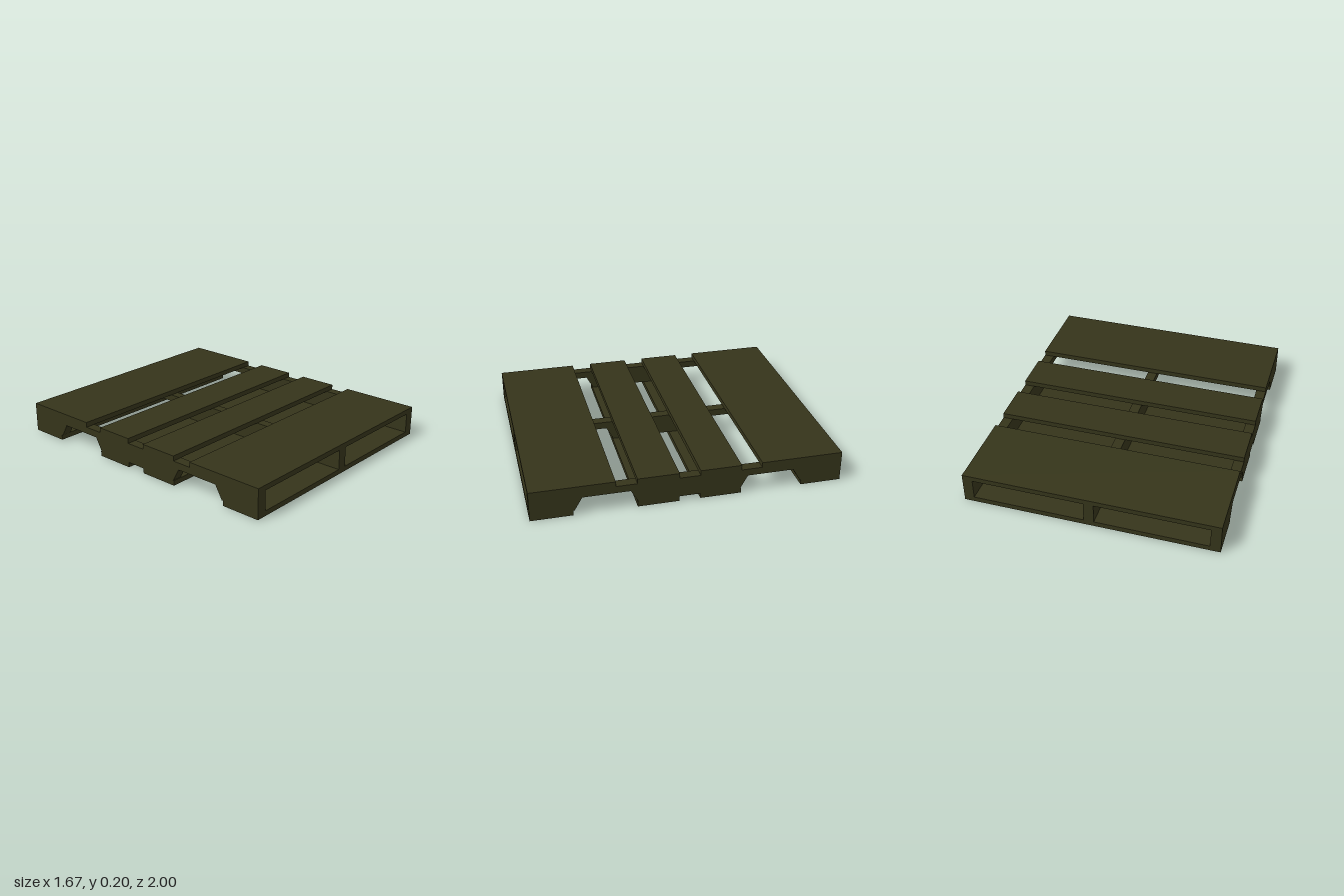
import * as THREE from 'three';

const WIDTH = 1.667, BOARD = 0.0335, HEIGHT = 0.2;
const STRINGER = 0.0665;

export function createModel() {
  const pallet = new THREE.Group();
  pallet.name = 'pallet';
  const wood = new THREE.MeshStandardMaterial({ color: 0x35341a, flatShading: true });

  // A flat board across the full width, between two z positions
  const addBoard = (name, z0, z1, y) => {
    const board = new THREE.Mesh(new THREE.BoxGeometry(WIDTH, BOARD, z1 - z0), wood);
    board.position.set(0, y, (z0 + z1) / 2);
    board.name = name;
    pallet.add(board);
  };

  // Top deck: wide end boards and narrower middle boards, mirrored front to back
  for (const [z0, z1] of [[0.467, 1], [0.067, 0.333]]) {
    addBoard('topBoardFront', z0, z1, HEIGHT - BOARD / 2);
    addBoard('topBoardBack', -z1, -z0, HEIGHT - BOARD / 2);
  }

  // Bottom deck
  for (const [z0, z1] of [[0.733, 1], [0.067, 0.333]]) {
    addBoard('bottomBoardFront', z0, z1, BOARD / 2);
    addBoard('bottomBoardBack', -z1, -z0, BOARD / 2);
  }

  // Stringer side profile with two tapered fork notches
  const low = BOARD, high = HEIGHT - BOARD, notch = 0.12;
  const profile = new THREE.Shape([
    [-1, low], [-0.725, low], [-0.675, notch], [-0.375, notch], [-0.327, low],
    [0.327, low], [0.375, notch], [0.675, notch], [0.725, low], [1, low],
    [1, high], [-1, high],
  ].map(([z, y]) => new THREE.Vector2(z, y)));
  const stringerGeometry = new THREE.ExtrudeGeometry(profile, { depth: STRINGER, bevelEnabled: false })
    .translate(0, 0, -STRINGER / 2)
    .rotateY(-Math.PI / 2);

  // Three stringers: right, centre, left
  ['stringerRight', 'stringerCentre', 'stringerLeft'].forEach((name, i) => {
    const stringer = new THREE.Mesh(stringerGeometry, wood);
    stringer.position.x = (i - 1) * (WIDTH - STRINGER) / 2;
    stringer.name = name;
    pallet.add(stringer);
  });

  return pallet;
}
